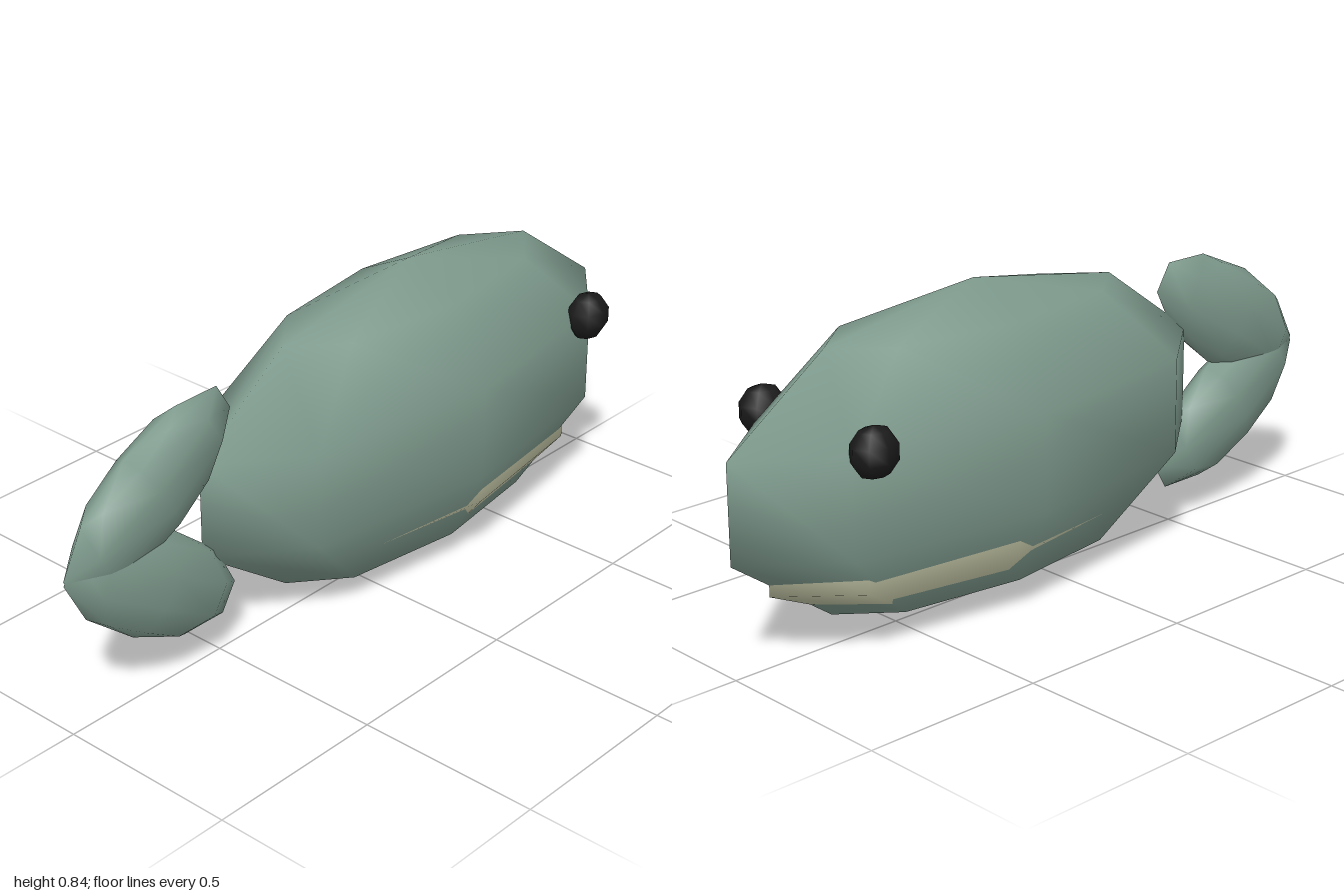
import * as THREE from 'three';

const skin = new THREE.MeshStandardMaterial({ color: 0x7f9b8e });
skin.name = 'grey green skin';
const cream = new THREE.MeshStandardMaterial({ color: 0xc2c5a5 });
cream.name = 'cream belly';
const black = new THREE.MeshStandardMaterial({ color: 0x1a1a1a });
black.name = 'black eye';

// Every part is a coarse smooth-shaded ellipsoid: 8 sides, 5 bands
const ball = new THREE.SphereGeometry(1, 8, 5);

function ellipsoid(name, material, position, radii, tilt = 0) {
  const mesh = new THREE.Mesh(ball, material);
  mesh.name = name;
  mesh.position.set(...position);
  mesh.scale.set(...radii);
  mesh.rotation.x = tilt;
  return mesh;
}

export function createModel() {
  const fish = new THREE.Group();
  fish.name = 'fish';

  // Body, with the belly just breaking through its lower sides
  fish.add(ellipsoid('body', skin, [0, 0.423, -0.225], [0.275, 0.422, 0.815]));
  fish.add(ellipsoid('belly', cream, [0, 0.25, -0.275], [0.231, 0.215, 0.647]));

  // Tail lobes, mirrored above and below the centre line
  for (const [name, s] of [['upperTailLobe', 1], ['lowerTailLobe', -1]]) {
    fish.add(ellipsoid(name, skin, [0, 0.424 + s * 0.127, 0.72], [0.0715, 0.14, 0.318], s * 0.55));
  }

  // Eyes
  for (const [name, s] of [['leftEye', 1], ['rightEye', -1]]) {
    fish.add(ellipsoid(name, black, [s * 0.21, 0.567, -0.73], [0.054, 0.067, 0.068]));
  }
  return fish;
}
